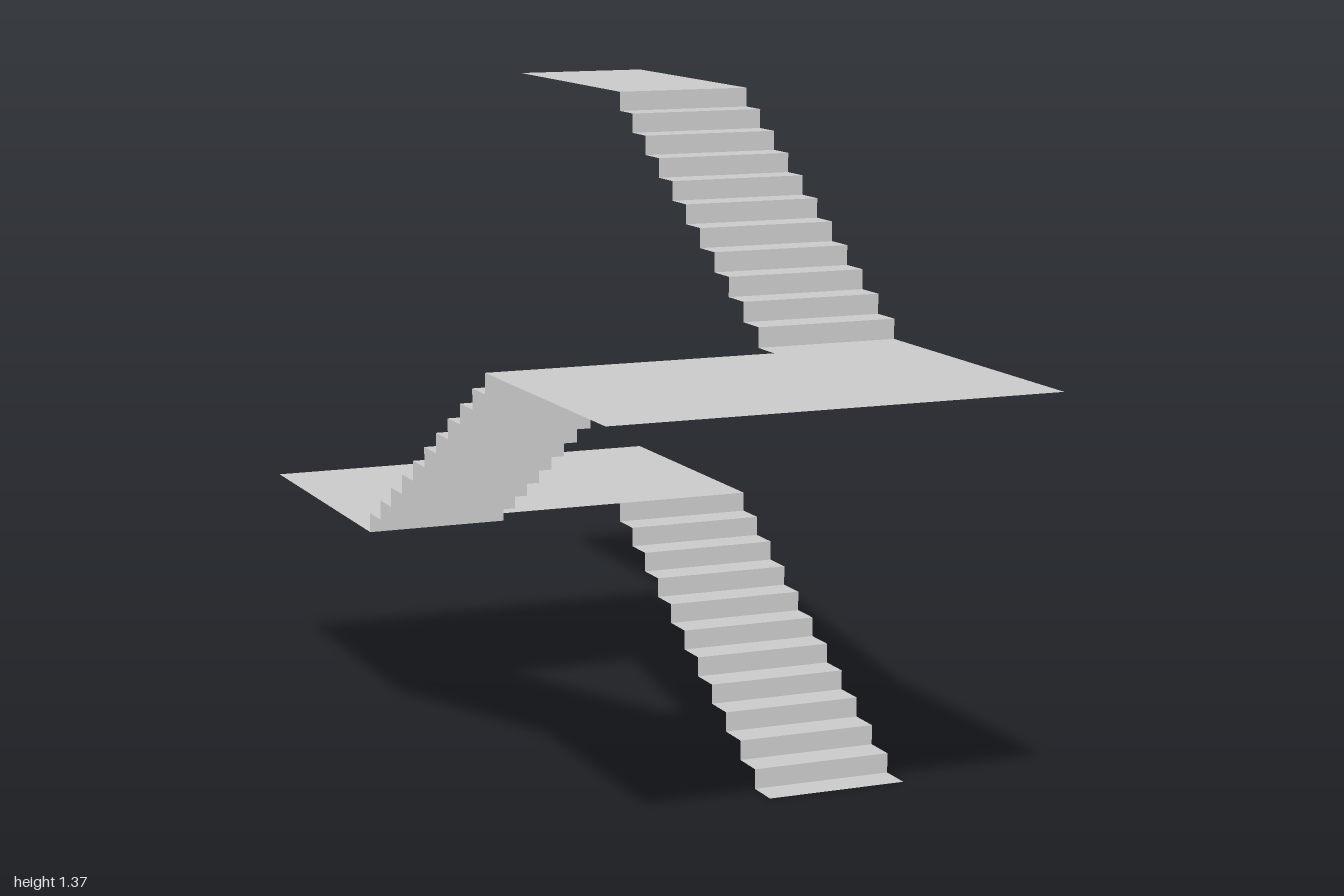
import * as THREE from 'three';

const INNER = 0.151, OUTER = 0.453;   // x extent of a flight
const EDGE = 0.396, END = 1;          // z where landings begin and end
const STEPS = 11, RISE = 0.455, UP = RISE / STEPS, GOING = (2 * EDGE) / STEPS;

const material = new THREE.MeshStandardMaterial({
  color: 0xcccccc, flatShading: true, side: THREE.DoubleSide,
});

// Thin folded sheet: a [z, y] profile swept from x0 to x1
function ribbon(profile, x0, x1) {
  const position = [];
  for (let i = 0; i < profile.length - 1; i++) {
    const [za, ya] = profile[i], [zb, yb] = profile[i + 1];
    position.push(x0, ya, za, x1, ya, za, x1, yb, zb);
    position.push(x0, ya, za, x1, yb, zb, x0, yb, zb);
  }
  const geometry = new THREE.BufferGeometry();
  geometry.setAttribute('position', new THREE.Float32BufferAttribute(position, 3));
  geometry.computeVertexNormals();
  return geometry;
}

export function createModel() {
  const model = new THREE.Group();
  model.name = 'staircase';

  // Each step is a tread followed by a riser, climbing towards -z
  const profile = [[EDGE, 0]];
  for (let i = 1; i <= STEPS; i++) {
    const z = EDGE - i * GOING;
    profile.push([z, (i - 1) * UP], [z, i * UP]);
  }
  const flight = ribbon(profile, INNER, OUTER);
  const wide = ribbon([[-EDGE, 0], [-END, 0]], -OUTER, OUTER);
  const narrow = ribbon([[-EDGE, 0], [-END, 0]], INNER, OUTER);

  // Every level turns half way round from the one below
  const levels = [
    ['lower', wide, 'lowerLanding'],
    ['middle', wide, 'upperLanding'],
    ['top', narrow, 'topLanding'],
  ];
  levels.forEach(([name, landing, landingName], i) => {
    const level = new THREE.Group();
    level.name = name + 'Level';
    const stairs = new THREE.Mesh(flight, material);
    stairs.name = name + 'Flight';
    const platform = new THREE.Mesh(landing, material);
    platform.name = landingName;
    platform.position.y = RISE;
    level.add(stairs, platform);
    level.position.y = i * RISE;
    level.rotation.y = i * Math.PI;
    model.add(level);
  });
  return model;
}
